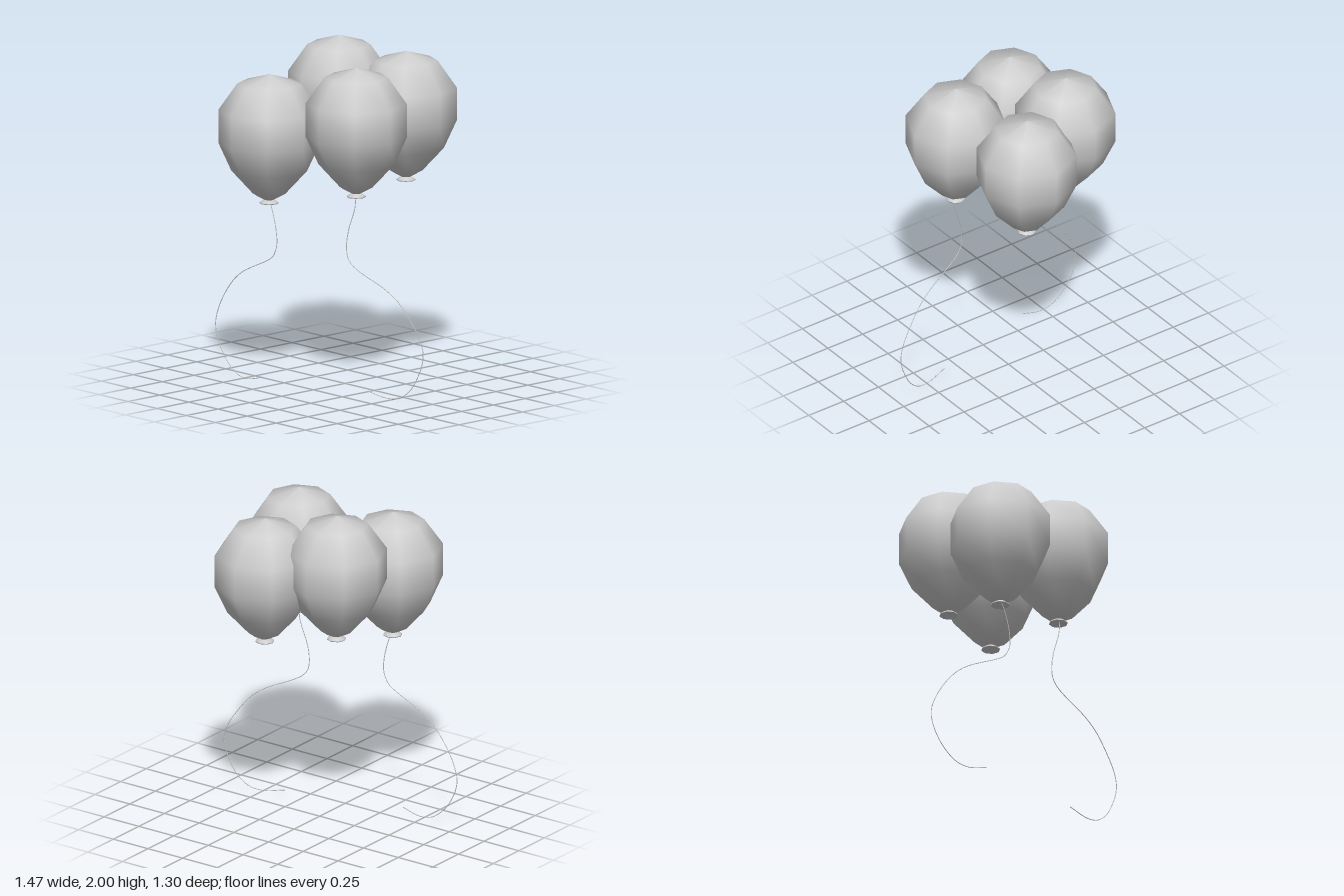
import * as THREE from 'three';

const material = new THREE.MeshStandardMaterial({ color: 0xcccccc, side: THREE.DoubleSide });

const lathe = (pts) =>
  new THREE.LatheGeometry(pts.map(([r, y]) => new THREE.Vector2(r, y)), 8);

// Profiles run bottom to top, measured down from the crown of the balloon
const bodyGeometry = lathe([
  [0.03, -0.745], [0.095, -0.71], [0.22, -0.575], [0.295, -0.41],
  [0.295, -0.215], [0.185, -0.057], [0, 0],
]);
const lipGeometry = lathe([
  [0, -0.745], [0.03, -0.755], [0.038, -0.767], [0.055, -0.767], [0.055, -0.761], [0.03, -0.745],
]);

function makeBalloon(x, top, z) {
  const balloon = new THREE.Group();
  balloon.name = 'balloon';
  const body = new THREE.Mesh(bodyGeometry, material);
  body.name = 'balloonBody';
  const lip = new THREE.Mesh(lipGeometry, material);
  lip.name = 'balloonLip';
  balloon.add(body, lip);
  balloon.position.set(x, top, z);
  return balloon;
}

// A string lies in an upright plane: z follows x
function makeString(name, points, zAt) {
  const curve = new THREE.CatmullRomCurve3(
    points.map(([x, y]) => new THREE.Vector3(x, y, zAt(x, y))));
  const mesh = new THREE.Mesh(new THREE.TubeGeometry(curve, 80, 0.0025, 5), material);
  mesh.name = name;
  return mesh;
}

export function createModel() {
  const model = new THREE.Group();
  model.name = 'balloonBunch';

  // Balloons: x, crown height, z
  for (const [x, top, z] of [
    [-0.265, 1.85, 0.355],
    [0.265, 1.945, 0.155],
    [-0.265, 2.0, -0.195],
    [0.13, 1.945, -0.36],
  ]) model.add(makeBalloon(x, top, z));

  // Trailing strings
  model.add(makeString('rightString', [
    [-0.26, 1.1], [-0.245, 1.075], [-0.205, 0.94], [-0.2, 0.84], [-0.235, 0.77], [-0.3, 0.73],
    [-0.4, 0.685], [-0.49, 0.64], [-0.57, 0.58], [-0.65, 0.485], [-0.71, 0.38], [-0.735, 0.29],
    [-0.72, 0.21], [-0.665, 0.11], [-0.6, 0.045], [-0.55, 0.015], [-0.47, 0.003], [-0.35, 0.03],
  ], (x, y) => 0.34 + 0.018 * y));
  model.add(makeString('leftString', [
    [0.27, 1.19], [0.262, 1.11], [0.218, 0.97], [0.205, 0.87], [0.215, 0.81], [0.245, 0.77],
    [0.33, 0.72], [0.46, 0.66], [0.56, 0.59], [0.65, 0.48], [0.71, 0.38], [0.73, 0.3],
    [0.72, 0.23], [0.69, 0.155], [0.645, 0.08], [0.575, 0.025], [0.49, 0.01], [0.355, 0.035],
  ], (x) => 0.225 - 0.232 * x));

  return model;
}
